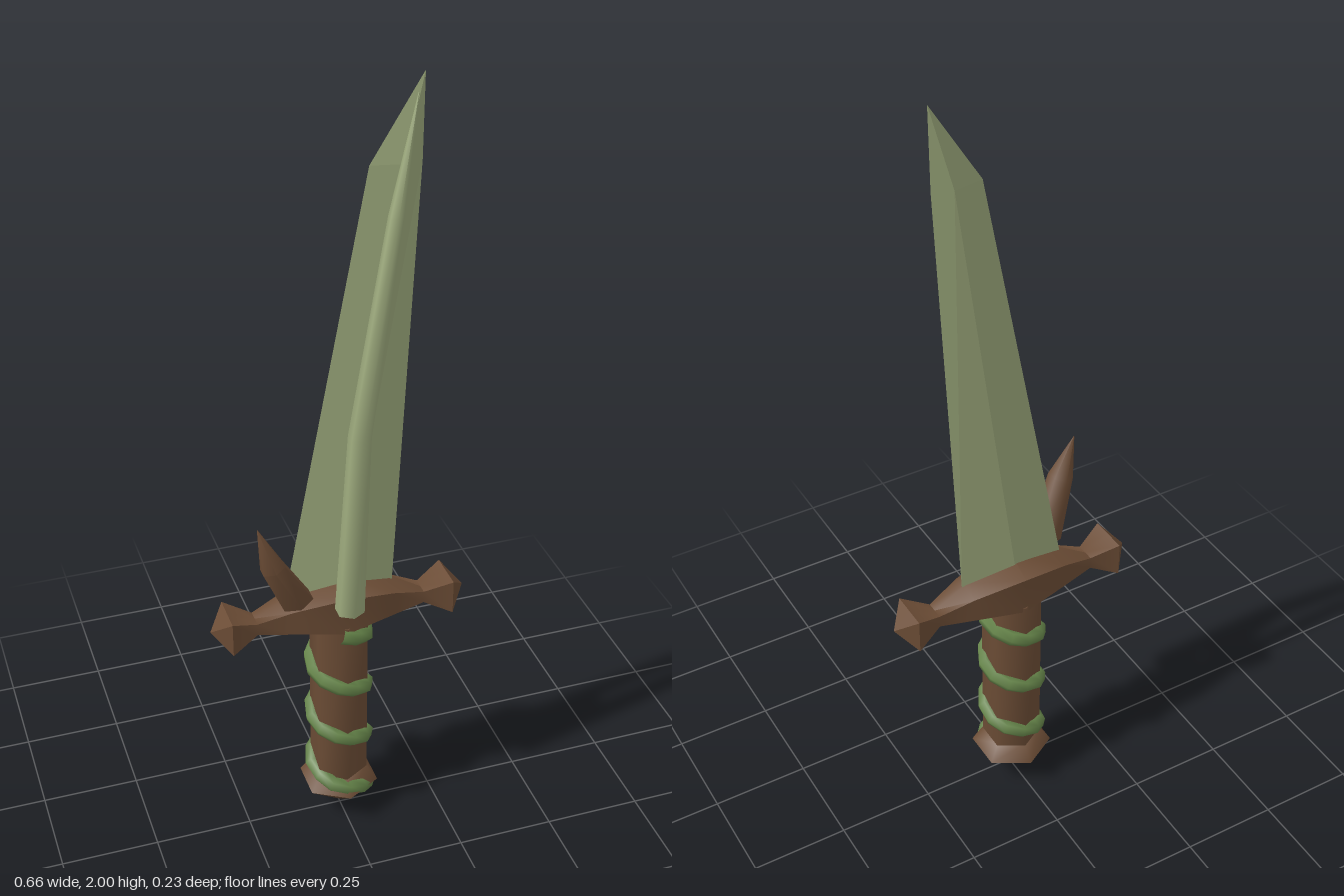
import * as THREE from 'three';
import { toCreasedNormals } from 'three/addons/utils/BufferGeometryUtils.js';

const CZ = -0.01; // depth of the central plane

const mat = (name, color) => {
  const m = new THREE.MeshStandardMaterial({ color });
  m.name = name;
  return m;
};

// Skin over rings of points (each ring anticlockwise about the path), with capped ends
function loft(rings, crease) {
  const n = rings[0].length;
  const pos = rings.flat(2);
  const idx = [];
  for (let i = 0; i < rings.length - 1; i++) {
    for (let j = 0; j < n; j++) {
      const a = i * n + j, b = i * n + (j + 1) % n;
      idx.push(a, b, b + n, a, b + n, a + n);
    }
  }
  const last = (rings.length - 1) * n;
  for (let j = 1; j < n - 1; j++) {
    idx.push(0, j + 1, j);
    idx.push(last, last + j, last + j + 1);
  }
  const g = new THREE.BufferGeometry();
  g.setAttribute('position', new THREE.Float32BufferAttribute(pos, 3));
  g.setIndex(idx);
  return toCreasedNormals(g, crease);
}

// Six-sided ring about a vertical path; tilt lifts the +x side
function hexRing([x, y, z, r], tilt = 0) {
  return Array.from({ length: 6 }, (_, j) => {
    const a = j * Math.PI / 3;
    const dx = r * Math.sin(a);
    return [x + dx, y + tilt * dx, z + r * Math.cos(a)];
  });
}

// Helix winding down around the grip
class Helix extends THREE.Curve {
  getPoint(t, target = new THREE.Vector3()) {
    const turns = -0.03 + t * 3.2;
    const a = turns * Math.PI * 2;
    const r = turns > 2.9 ? 0.076 : 0.07;
    return target.set(r * Math.sin(a), 0.595 - 0.163 * turns, CZ + r * Math.cos(a));
  }
}

export function createModel() {
  const group = new THREE.Group();
  const wood = mat('brown wood', 0x6b4c35);
  const steel = mat('pale green blade', 0x9ca97c);
  const green = mat('vine green', 0x66854a);

  const add = (name, geometry, material) => {
    const m = new THREE.Mesh(geometry, material);
    m.name = name;
    group.add(m);
  };

  // Grip and pommel
  add('grip', loft([
    hexRing([0, 0.11, CZ, 0.075]),
    hexRing([0, 0.62, CZ, 0.075]),
  ], 1.1), wood);
  add('pommel', loft([
    hexRing([0, 0, CZ, 0]),
    hexRing([0, 0.09, CZ, 0.104]),
    hexRing([0, 0.135, CZ, 0.072]),
  ], 1.1), wood);

  // Crossguard: x, centre y, half height at middle, half height at sides, half depth
  const half = [
    [0, 0.657, 0.083, 0.052, 0.072],
    [0.13, 0.65, 0.049, 0.033, 0.047],
    [0.217, 0.637, 0.016, 0.016, 0.026],
    [0.286, 0.638, 0.046, 0.046, 0.052],
    [0.33, 0.637, 0, 0, 0],
  ];
  const sections = [
    ...half.slice(1).reverse().map(([x, ...s]) => [-x, ...s]),
    ...half,
  ];
  add('crossguard', loft(sections.map(([x, y, m, h, d]) => [
    [x, y + m, CZ], [x, y + h, CZ + d], [x, y - h, CZ + d],
    [x, y - m, CZ], [x, y - h, CZ - d], [x, y + h, CZ - d],
  ]), 0.85), wood);

  // Blade: y, left edge, ridge, right edge, half thickness
  add('blade', loft([
    [0.69, -0.14, 0, 0.14, 0.026],
    [1.8, 0.07, 0.145, 0.193, 0.015],
    [2, 0.195, 0.195, 0.195, 0],
  ].map(([y, l, c, r, t]) => [
    [c, y, CZ + t], [r, y, CZ], [c, y, CZ - t], [l, y, CZ],
  ]), 0.05), steel);

  // Long spine bending up the front of the blade
  add('bladeSpine', loft([
    [0, 0.69, 0.078, 0.037],
    [0.022, 1.18, 0.08, 0.028],
    [0.115, 1.7, 0.043, 0.018],
    [0.178, 1.955, -0.003, 0.001],
  ].map((s) => hexRing(s)), 1.1), steel);

  // Thorn curling off the guard
  add('thorn', loft([
    [-0.122, 0.718, 0.035, 0.042],
    [-0.191, 0.855, 0.074, 0.031],
    [-0.225, 0.967, 0.07, 0.001],
  ].map((s) => hexRing(s, 0.3)), 1.1), wood);

  // Vine around the grip
  add('vine', new THREE.TubeGeometry(new Helix(), 36, 0.021, 6), green);

  return group;
}
